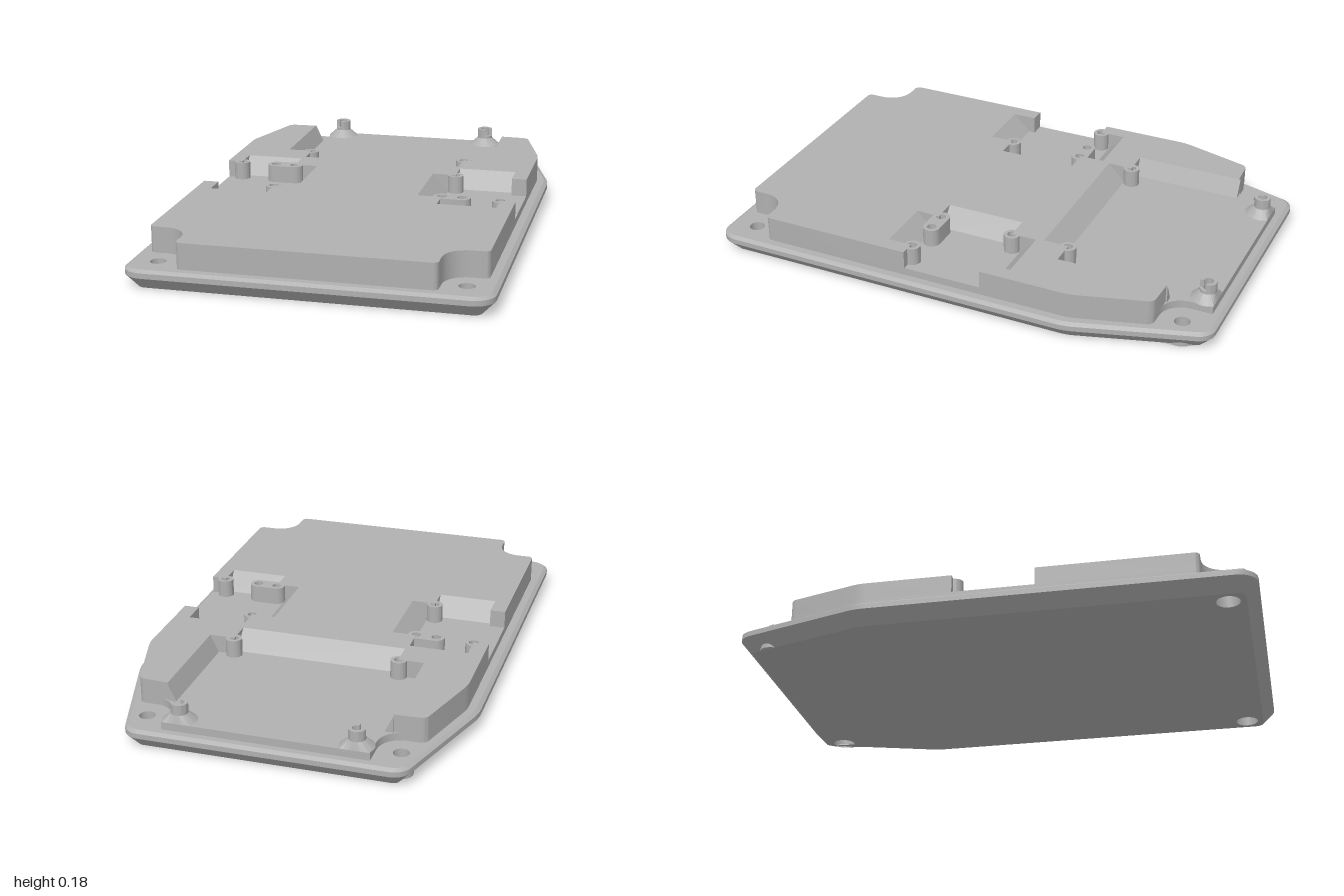
import * as THREE from 'three';
import { toCreasedNormals } from 'three/addons/utils/BufferGeometryUtils.js';

const FLOOR = 0.11, TOP = 0.18, DECK = 0.08;

export function createModel() {
  const model = new THREE.Group();
  model.name = 'enclosureCover';
  const grey = new THREE.MeshStandardMaterial({ color: 0xb0b0b0, side: THREE.DoubleSide });
  grey.name = 'plainGrey';

  const add = (name, geometry, x = 0, y = 0, z = 0) => {
    const mesh = new THREE.Mesh(toCreasedNormals(geometry, 0.5), grey);
    mesh.name = name;
    mesh.position.set(x, y, z);
    model.add(mesh);
    return mesh;
  };

  // Right half [x, z, cornerRadius] from front to back, mirrored to a full loop
  const mirror = (half) => [...half, ...half.map(([x, z, r]) => [-x, z, r]).reverse()];

  // Rounds the corners of a loop; result is in shape space (x, -z)
  function rounded(loop, inset = 0) {
    const out = [], n = loop.length;
    const at = (i) => new THREE.Vector2(loop[(i + n) % n][0], -loop[(i + n) % n][1]);
    loop.forEach(([, , r = 0], i) => {
      const p = at(i);
      const a = at(i - 1).sub(p).normalize(), b = at(i + 1).sub(p).normalize();
      if (!r) return out.push(p);
      const half = Math.acos(THREE.MathUtils.clamp(a.dot(b), -1, 1)) / 2;
      const centre = p.clone().addScaledVector(a.clone().add(b).normalize(), r / Math.sin(half));
      const t = r / Math.tan(half);
      const s = p.clone().addScaledVector(a, t).sub(centre);
      const e = p.clone().addScaledVector(b, t).sub(centre);
      const turn = Math.atan2(s.cross(e), s.dot(e));
      for (let k = 0; k <= 8; k++) {
        const v = s.clone().rotateAround(new THREE.Vector2(), (turn * k) / 8);
        out.push(v.multiplyScalar((r - inset) / r).add(centre));
      }
    });
    return out;
  }

  const circle = (x, z, r) => new THREE.Path().absarc(x, -z, r, 0, Math.PI * 2);
  const extrude = (shape, height) =>
    new THREE.ExtrudeGeometry(shape, { depth: height, bevelEnabled: false, curveSegments: 20 }).rotateX(-Math.PI / 2);

  // Base plate: chamfered rim lofted from inset outlines
  const plate = mirror([[0.675, 1, 0.08], [0.675, -0.49, 0.25], [0.52, -1, 0.07]]);
  const levels = [[0, 0.047], [0.05, 0], [0.07, 0], [DECK, 0.015]];
  const rings = levels.map(([, inset]) => rounded(plate, inset));
  const count = rings[0].length, position = [], index = [];
  rings.forEach((ring, j) => ring.forEach((p, i) => {
    position.push(p.x, levels[j][0], -p.y);
    if (j === levels.length - 1) return;
    const a = j * count + i, b = j * count + ((i + 1) % count);
    index.push(a, b, b + count, a, b + count, a + count);
  }));
  const rim = new THREE.BufferGeometry();
  rim.setAttribute('position', new THREE.Float32BufferAttribute(position, 3));
  rim.setIndex(index);
  add('plateRim', rim);

  // Plate faces pierced by four counterbored screw holes
  const screws = [[0.565, 0.885], [-0.565, 0.885], [0.48, -0.875], [-0.48, -0.875]];
  const face = (name, ring, y, r) => {
    const shape = new THREE.Shape(ring);
    shape.holes = screws.map(([x, z]) => circle(x, z, r));
    const g = new THREE.ShapeGeometry(shape, 20).rotateX(-Math.PI / 2);
    if (y === 0) g.rotateZ(Math.PI).scale(-1, 1, 1).setIndex([...g.index.array].reverse());
    // The underside must face down
    if (y === 0) {
      const normals = g.attributes.normal;
      for (let i = 0; i < normals.count; i++) normals.setXYZ(i, 0, -1, 0);
      const pos = g.attributes.position, [i0, i1, i2] = g.index.array;
      const v = [i0, i1, i2].map((i) => new THREE.Vector3().fromBufferAttribute(pos, i));
      if (v[1].sub(v[0]).cross(v[2].sub(v[0])).y > 0) g.setIndex([...g.index.array].reverse());
    }
    add(name, g, 0, y, 0);
  };
  face('plateUnderside', rings[0], 0, 0.045);
  face('plateDeck', rings[3], DECK, 0.03);
  const bore = [[0.03, DECK], [0.03, 0.05], [0.045, 0.05], [0.045, 0]].map((p) => new THREE.Vector2(...p));
  for (const [x, z] of screws) add('screwHole', new THREE.LatheGeometry(bore, 24), x, 0, z);

  // Pocket floor slab, scooped around the screw holes
  const front = [[0.475, 0.955, 0.02], [0.475, 0.795, 0.09], [0.63, 0.795, 0.02]];
  const shoulder = [[0.63, -0.49, 0.2], [0.545, -0.785, 0.03]];
  const slab = mirror([...front, ...shoulder, [0.39, -0.785, 0.09], [0.39, -0.96, 0]]);
  add('pocketFloor', extrude(new THREE.Shape(rounded(slab)), FLOOR - DECK), 0, DECK, 0);

  // Raised block with two side pockets and a large rear pocket
  const sidePocket = [
    [0.63, 0.185], [0.57, 0.185], [0.57, 0.28], [0.34, 0.28], [0.34, 0.185], [0.245, 0.185],
    [0.245, -0.13], [0.34, -0.13], [0.34, -0.23], [0.57, -0.23], [0.57, -0.13], [0.63, -0.13],
  ];
  const block = mirror([...front, ...sidePocket, ...shoulder,
    [0.43, -0.79], [0.43, -0.36], [0.33, -0.36], [0.33, -0.26]]);
  add('raisedBlock', extrude(new THREE.Shape(rounded(block)), TOP - FLOOR), 0, FLOOR, 0);

  // Sloped pocket walls; the slope descends along the turned +x axis
  const ramp = (name, x, z, angle, run, width) => {
    const h = TOP - FLOOR;
    const wedge = new THREE.Shape([[0, 0], [run, 0], [0, h]].map((p) => new THREE.Vector2(...p)));
    const g = new THREE.ExtrudeGeometry(wedge, { depth: width, bevelEnabled: false });
    add(name, g.translate(0, 0, -width / 2).rotateY(angle), x, FLOOR, z);
  };
  ramp('rearPocketRamp', 0, -0.26, Math.PI / 2, 0.07, 0.66);
  for (const s of [1, -1]) {
    const inward = s > 0 ? Math.PI : 0;
    ramp('rearPocketSideSlope', s * 0.43, -0.578, inward, 0.033, 0.436);
    ramp('sidePocketFrontRamp', s * 0.455, 0.28, Math.PI / 2, 0.07, 0.23);
    ramp('sidePocketBackRamp', s * 0.455, -0.23, -Math.PI / 2, 0.065, 0.23);
    ramp('sidePocketInnerRamp', s * 0.245, 0.0275, Math.PI - inward, 0.065, 0.315);
  }

  // Hollow screw posts standing on the pocket floors
  const post = (name, x, z, height = TOP - FLOOR) => {
    const shape = new THREE.Shape().absarc(0, 0, 0.032, 0, Math.PI * 2);
    shape.holes = [circle(0, 0, 0.018)];
    add(name, extrude(shape, height), x, FLOOR, z);
  };
  for (const s of [1, -1]) {
    // Side pockets are half-turn copies of each other
    const spin = (x, z) => [s * x, 0.025 + s * (z - 0.025)];
    post('sidePost', ...spin(0.57, 0.18));
    post('sidePost', ...spin(0.34, -0.13));
    const [px, pz] = spin(0.38, 0.175);
    const twin = new THREE.Shape().absarc(0.04, 0, 0.034, -Math.PI / 2, Math.PI / 2);
    twin.absarc(-0.04, 0, 0.034, Math.PI / 2, Math.PI * 1.5);
    twin.holes = [circle(0.04, 0, 0.018), circle(-0.04, 0, 0.018)];
    add('twinPost', extrude(twin, TOP - FLOOR), px, FLOOR, pz);

    post('rearPocketPost', s * 0.332, -0.36);

    // Rear posts with a flared foot and an open collar
    post('rearPost', s * 0.332, -0.92, 0.04);
    const foot = new THREE.LatheGeometry([new THREE.Vector2(0.065, 0), new THREE.Vector2(0.032, 0.03)], 28);
    const fp = foot.attributes.position;
    for (let i = 0; i < fp.count; i++) fp.setZ(i, Math.max(fp.getZ(i), -0.04));
    add('rearPostFoot', foot, s * 0.332, FLOOR, -0.92);
    const collar = new THREE.Shape().absarc(0, 0, 0.032, 0.7, Math.PI * 2 - 0.7);
    collar.absarc(0, 0, 0.018, Math.PI * 2 - 0.7, 0.7, true);
    const open = add('rearPostCollar', extrude(collar, 0.03), s * 0.332, 0.15, -0.92);
    open.rotation.y = s > 0 ? -0.7 : Math.PI + 0.7;
  }
  return model;
}
